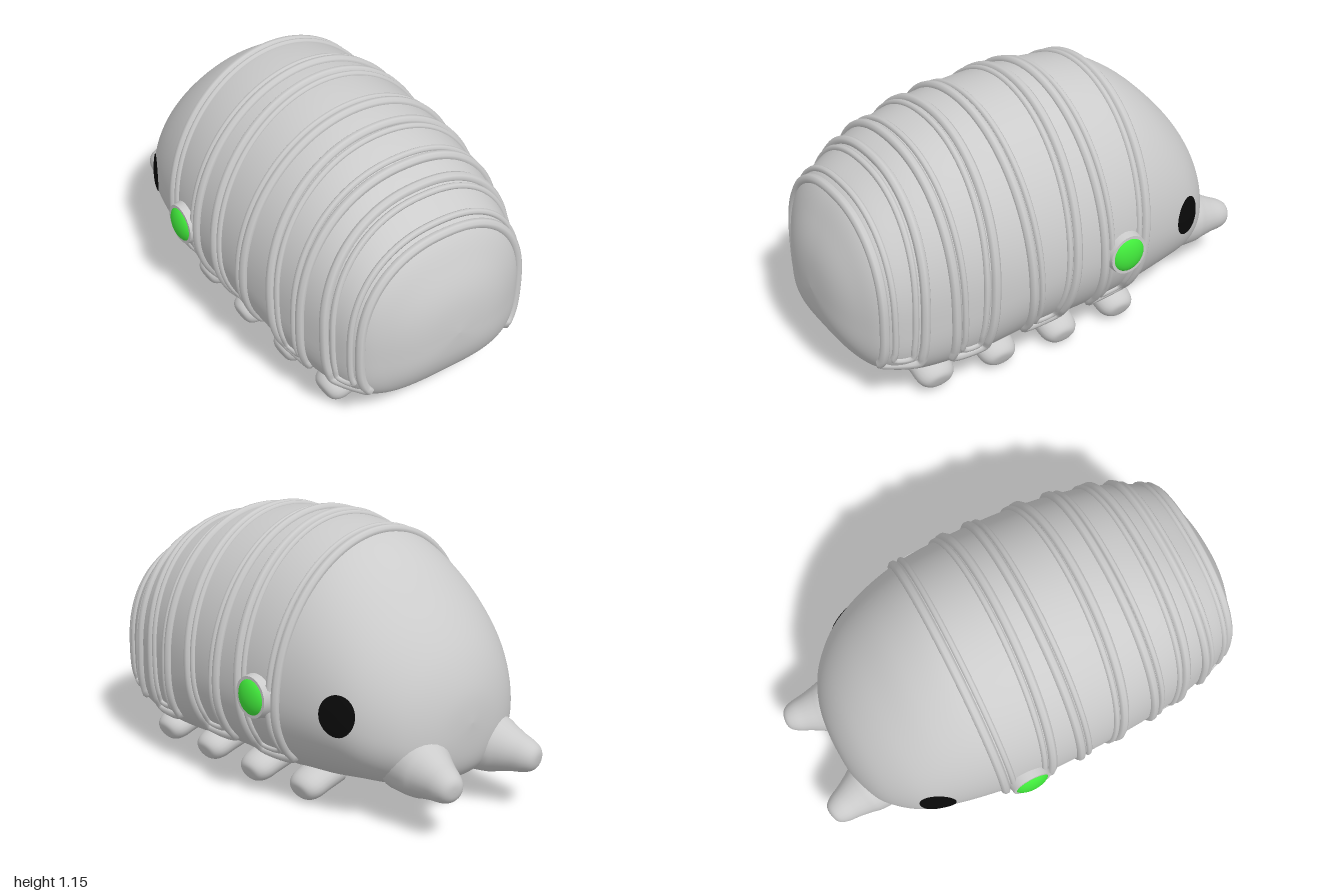
import * as THREE from 'three';

const grey = new THREE.MeshStandardMaterial({ color: 0xcccccc });
const green = new THREE.MeshStandardMaterial({ color: 0x42ec3c });
const black = new THREE.MeshStandardMaterial({ color: 0x0a0a0a, side: THREE.DoubleSide });

// Body stations from tail to nose: z, bottom, top, half width
const stations = [
  [1.0, 0.44, 0.44, 0], [0.985, 0.31, 0.6, 0.17], [0.94, 0.21, 0.73, 0.3],
  [0.87, 0.14, 0.855, 0.405], [0.75, 0.095, 0.945, 0.455], [0.6, 0.075, 1.03, 0.495],
  [0.4, 0.06, 1.095, 0.53], [0.2, 0.055, 1.13, 0.55], [0, 0.05, 1.14, 0.555],
  [-0.2, 0.06, 1.13, 0.55], [-0.35, 0.075, 1.1, 0.53], [-0.5, 0.1, 1.01, 0.497],
  [-0.63, 0.12, 0.89, 0.45], [-0.73, 0.145, 0.775, 0.375], [-0.8, 0.18, 0.665, 0.285],
  [-0.845, 0.26, 0.545, 0.16], [-0.86, 0.42, 0.42, 0],
];
const zCurve = new THREE.SplineCurve(stations.map((s, i) => new THREE.Vector2(i, s[0])));
const sizeCurve = new THREE.CatmullRomCurve3(
  stations.map((s) => new THREE.Vector3(s[1], s[2], s[3])), false, 'catmullrom', 0.5);

// Section at curve parameter t: near elliptical, squarer towards the tail
function section(t) {
  const p = sizeCurve.getPoint(t), z = zCurve.getPoint(t).y;
  const c = p.x + (p.y - p.x) * 0.41;
  const tail = THREE.MathUtils.smoothstep(z, 0.1, 0.87);
  return {
    z, c, low: c - p.x, high: p.y - c, half: Math.max(p.z, 0),
    nLow: 2.15 + 1.4 * tail, nHigh: 2 + 0.3 * tail,
  };
}
function sectionAt(z) {
  let a = 0, b = 1;
  for (let i = 0; i < 30; i++) {
    const m = (a + b) / 2;
    if (zCurve.getPoint(m).y > z) a = m; else b = m;
  }
  return section(a);
}
function onSection(s, angle) {
  const sin = Math.sin(angle), cos = Math.cos(angle);
  const e = 2 / (sin > 0 ? s.nHigh : s.nLow);
  return new THREE.Vector3(
    s.half * Math.sign(cos) * Math.abs(cos) ** e,
    s.c + (sin > 0 ? s.high : -s.low) * Math.abs(sin) ** e, s.z);
}
function sideX(y, z) {
  const s = sectionAt(z), n = y > s.c ? s.nHigh : s.nLow;
  const k = Math.abs(y - s.c) / (y > s.c ? s.high : s.low);
  return s.half * Math.max(0, 1 - k ** n) ** (1 / n);
}

function bodyGeometry(rings = 96, sides = 96) {
  const pos = [], index = [];
  for (let i = 0; i <= rings; i++) {
    const s = section(i / rings);
    for (let j = 0; j < sides; j++) pos.push(...onSection(s, (j / sides) * Math.PI * 2).toArray());
  }
  for (let i = 0; i < rings; i++) {
    for (let j = 0; j < sides; j++) {
      const a = i * sides + j, b = i * sides + ((j + 1) % sides);
      index.push(a, a + sides, b, b, a + sides, b + sides);
    }
  }
  const g = new THREE.BufferGeometry();
  g.setAttribute('position', new THREE.Float32BufferAttribute(pos, 3));
  g.setIndex(index);
  g.computeVertexNormals();
  return g;
}

// Closed loop over the back; each edge leans from its top z to its lower z
function loopGeometry([rearTop, rearLow, frontTop, frontLow, endY], inset, radius) {
  const points = [];
  const edge = (top, low, flip) => {
    const s0 = sectionAt(low);
    const end = -Math.asin(((s0.c - endY - inset) / s0.low) ** (s0.nLow / 2));
    const n = 28;
    for (let i = 0; i <= n; i++) {
      const f = flip ? 1 - i / n : i / n;
      const a = end + f * (Math.PI - 2 * end);
      const up = Math.sin(f * Math.PI);
      points.push(onSection(sectionAt(low + (top - low) * up), a));
    }
  };
  edge(rearTop - inset, rearLow - inset, false);
  edge(frontTop + inset, frontLow + inset, true);
  const path = new THREE.CatmullRomCurve3(points, true, 'centripetal');
  return new THREE.TubeGeometry(path, 260, radius, 8, true);
}

// Tapered, round-tipped limb from one point to another
function limb(from, to, profile, name) {
  const axis = to.clone().sub(from), length = axis.length();
  const pts = new THREE.SplineCurve(profile.map(([r, t]) => new THREE.Vector2(r, t * length)))
    .getPoints(24);
  pts.forEach((p) => { p.x = Math.max(p.x, 0); });
  const mesh = new THREE.Mesh(new THREE.LatheGeometry(pts, 24), grey);
  mesh.position.copy(from);
  mesh.quaternion.setFromUnitVectors(new THREE.Vector3(0, 1, 0), axis.normalize());
  mesh.name = name;
  return mesh;
}

export function createModel() {
  const model = new THREE.Group();
  const add = (geometry, material, name, parent = model) => {
    const mesh = new THREE.Mesh(geometry, material);
    mesh.name = name;
    parent.add(mesh);
    return mesh;
  };

  add(bodyGeometry(), grey, 'body');

  // Armour bands: a thick outer rim with a finer rim inside it
  const bands = [
    [-0.06, -0.085, -0.325, -0.26, 0.205],
    [0.295, 0.255, 0.04, 0.09, 0.21],
    [0.61, 0.605, 0.415, 0.46, 0.21],
    [0.87, 0.885, 0.7, 0.745, 0.23],
  ];
  bands.forEach((b, i) => {
    const band = new THREE.Group();
    band.name = 'armourBand' + (i + 1);
    add(loopGeometry(b, 0, 0.021), grey, 'outerRim', band);
    add(loopGeometry(b, 0.036, 0.014), grey, 'innerRim', band);
    model.add(band);
  });

  for (const side of [1, -1]) {
    const label = side > 0 ? 'left' : 'right';

    // Four stubby legs, wider along the body than they are tall
    [[0.64, 0.4, 0.07], [0.34, 0.41, 0.063], [0.03, 0.415, 0.056], [-0.28, 0.405, 0.063]]
      .forEach(([z, x, y], i) => {
        const leg = limb(
          new THREE.Vector3(side * 0.24, y + 0.065, z), new THREE.Vector3(side * x, y, z),
          [[0.072, 0], [0.066, 0.45], [0.063, 0.75], [0.053, 0.93], [0.034, 1.03], [0, 1.05]],
          label + 'Leg' + (i + 1));
        leg.scale.z = 1.35;
        model.add(leg);
      });

    // Snout horns
    model.add(limb(
      new THREE.Vector3(side * 0.19, 0.275, -0.7), new THREE.Vector3(side * 0.248, 0.235, -1),
      [[0.14, 0], [0.121, 0.35], [0.103, 0.5], [0.083, 0.68], [0.07, 0.83], [0.053, 0.94],
        [0.03, 0.99], [0, 1]],
      label + 'Horn'));

    // Eye: an oval laid on the body surface
    const eye = new THREE.RingGeometry(0.0005, 1, 32, 6);
    const p = eye.attributes.position;
    for (let i = 0; i < p.count; i++) {
      const z = -0.575 + p.getX(i) * 0.073, y = 0.485 + p.getY(i) * 0.087;
      p.setXYZ(i, side * (sideX(y, z) + 0.006), y, z);
    }
    eye.computeVertexNormals();
    add(eye, black, label + 'Eye');

    // Side button: grey collar with a green dome
    const button = new THREE.Group();
    button.name = label + 'Button';
    const collar = add(new THREE.CylinderGeometry(0.088, 0.099, 0.06, 32), grey, 'collar', button);
    collar.rotation.z = -Math.PI / 2;
    const dome = add(new THREE.SphereGeometry(1, 32, 20), green, 'dome', button);
    dome.scale.set(0.04, 0.083, 0.083);
    dome.position.x = 0.013;
    button.position.set(side * 0.55, 0.487, -0.18);
    if (side < 0) button.rotation.y = Math.PI;
    model.add(button);
  }
  return model;
}
